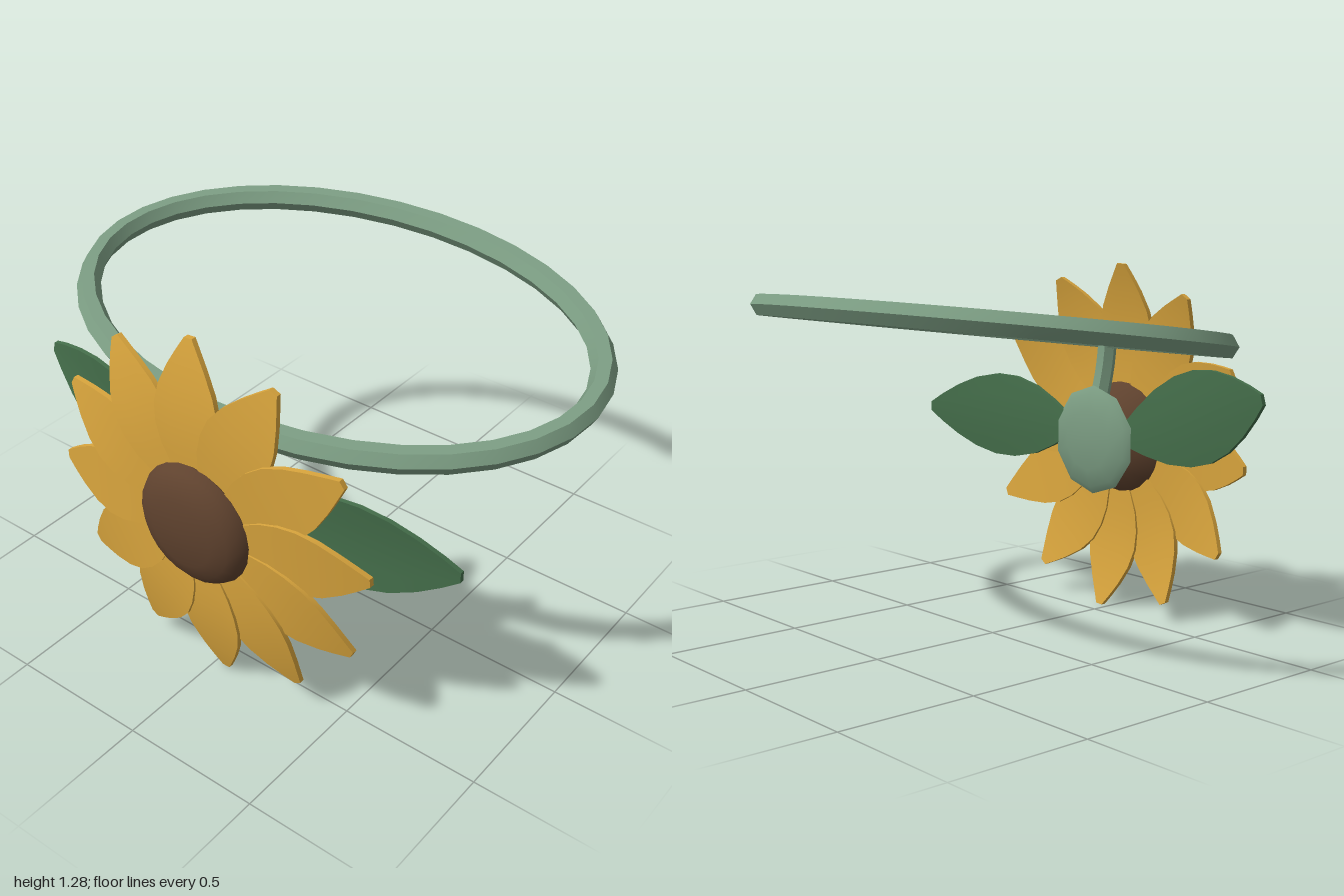
import * as THREE from 'three';
import { toCreasedNormals } from 'three/addons/utils/BufferGeometryUtils.js';

const mat = (name, color) => new THREE.MeshStandardMaterial({ name, color });

// Thin blade along +x: profile rows are [distance, half width]; bend gives z from distance and side offset
function bladeGeometry(profile, thickness, bend) {
  const n = profile.length - 1;
  const g = new THREE.BoxGeometry(1, 1, 1, n, 4, 1);
  const p = g.attributes.position;
  for (let i = 0; i < p.count; i++) {
    const [d, half] = profile[Math.round((p.getX(i) + 0.5) * n)];
    const y = p.getY(i) * 2 * half;
    p.setXYZ(i, d, y, p.getZ(i) * thickness + bend(d, y));
  }
  g.computeVertexNormals();
  return g;
}

// Oval hoop with an even six-sided section, rising toward the back
function hoopGeometry(a, b, r, slope) {
  const g = new THREE.TorusGeometry(a, r, 6, 36);
  const p = g.attributes.position, uv = g.attributes.uv;
  for (let i = 0; i < p.count; i++) {
    const u = uv.getX(i) * Math.PI * 2, v = uv.getY(i) * Math.PI * 2;
    const n = new THREE.Vector2(Math.cos(u) / a, Math.sin(u) / b).normalize();
    const out = r * Math.cos(v);
    const z = -(b * Math.sin(u) + n.y * out);
    p.setXYZ(i, a * Math.cos(u) + n.x * out, r * Math.sin(v) - slope * z, z);
  }
  return toCreasedNormals(g, 0.7);
}

// Lathe whose axis points to +z; points are [radius, z]
function latheZ(points, sides, crease) {
  const g = new THREE.LatheGeometry(points.map(([r, z]) => new THREE.Vector2(r, z)), sides);
  g.rotateX(Math.PI / 2);
  return toCreasedNormals(g, crease);
}

export function createModel() {
  const model = new THREE.Group();
  const stemGreen = mat('sage green', 0x7b9c82);
  const leafGreen = mat('leaf green', 0x456f4b);
  const petalGold = mat('petal gold', 0xd9a53d);
  const seedBrown = mat('seed brown', 0x5f422e);

  const add = (name, geometry, material, x = 0, y = 0, z = 0, turn = 0) => {
    const m = new THREE.Mesh(geometry, material);
    m.name = name;
    m.position.set(x, y, z);
    m.rotation.z = turn;
    model.add(m);
    return m;
  };

  // Hoop
  add('hoop', hoopGeometry(0.957, 0.613, 0.042, 0.122), stemGreen, 0, 1.095, -0.062);

  // Stem from hoop down to the backing disc
  const path = new THREE.CatmullRomCurve3([
    new THREE.Vector3(0, 1.01, 0.553), new THREE.Vector3(0, 0.92, 0.542),
    new THREE.Vector3(0, 0.8, 0.515), new THREE.Vector3(0, 0.68, 0.492),
  ]);
  add('stem', toCreasedNormals(new THREE.TubeGeometry(path, 8, 0.035, 6), 0.7), stemGreen);

  // Backing disc
  add('backingDisc', latheZ([[0, 0.445], [0.11, 0.452], [0.175, 0.468], [0.2, 0.485],
    [0.17, 0.503], [0, 0.515]], 10, 0.7), stemGreen, 0, 0.65, 0);

  // Seed head
  add('seedHead', latheZ([[0, 0.515], [0.06, 0.53], [0.14, 0.575], [0.2, 0.615], [0.22, 0.645],
    [0.205, 0.675], [0.175, 0.698], [0.12, 0.717], [0, 0.722]], 24, 1.0), seedBrown, 0, 0.65, 0);

  // Petals
  const petal = bladeGeometry([[0.14, 0.035], [0.2, 0.072], [0.27, 0.105], [0.34, 0.122], [0.41, 0.124],
    [0.48, 0.106], [0.55, 0.072], [0.6, 0.042], [0.642, 0.015]], 0.018, (d, y) => {
    const t = Math.max(0, (d - 0.25) / 0.39);
    return 0.633 - 0.057 * t * t + 0.05 * y;
  });
  for (let i = 0; i < 12; i++) {
    add('petal', petal, petalGold, 0, 0.65, 0, THREE.MathUtils.degToRad(4 + 30 * i));
  }

  // Leaves
  const leaf = bladeGeometry([[0, 0.03], [0.1, 0.085], [0.2, 0.13], [0.31, 0.156], [0.41, 0.158],
    [0.51, 0.137], [0.6, 0.1], [0.68, 0.055], [0.735, 0.018]], 0.016,
    (d, y) => -0.085 * (d / 0.735) ** 2 + 0.4 * y * y);
  add('leftLeaf', leaf, leafGreen, 0.11, 0.69, 0.485, 0.02);
  const right = add('rightLeaf', leaf, leafGreen, -0.14, 0.675, 0.495, Math.PI - 0.28);
  right.scale.y = 1.02;

  return model;
}
